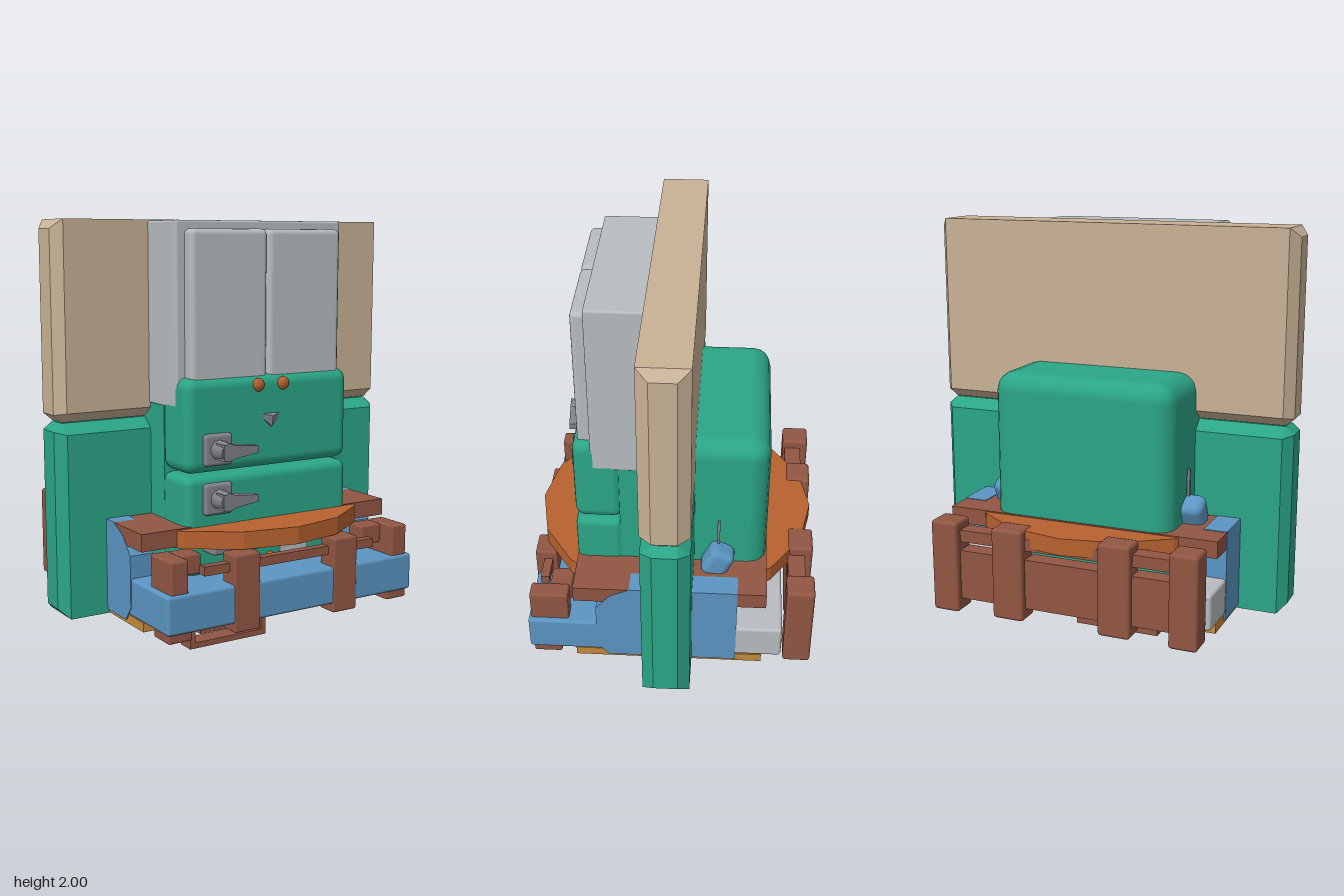
import * as THREE from 'three';
import { RoundedBoxGeometry } from 'three/addons/geometries/RoundedBoxGeometry.js';
import { ConvexGeometry } from 'three/addons/geometries/ConvexGeometry.js';

const paint = (name, color) => Object.assign(new THREE.MeshStandardMaterial({ color }), { name });

export function createModel() {
  const root = new THREE.Group();
  root.name = 'cabinetTable';
  const tan = paint('tan', 0xc9b296);
  const green = paint('green', 0x2ba586);
  const silver = paint('silver', 0xb8bcc0);
  const grey = paint('grey', 0x82848c);
  const orange = paint('orange', 0xb8622f);
  const brown = paint('brown', 0x925643);
  const blue = paint('blue', 0x5b95c2);
  const gold = paint('gold', 0xc58a3a);

  const add = (name, geometry, material) => {
    const mesh = new THREE.Mesh(geometry, material);
    mesh.name = name;
    root.add(mesh);
    return mesh;
  };
  // Box given by its limits; a radius rounds the edges
  const box = (name, material, x0, x1, y0, y1, z0, z1, r = 0) => {
    const size = [x1 - x0, y1 - y0, z1 - z0];
    const g = r ? new RoundedBoxGeometry(...size, 2, r) : new THREE.BoxGeometry(...size);
    g.translate((x0 + x1) / 2, (y0 + y1) / 2, (z0 + z1) / 2);
    return add(name, g, material);
  };
  // The same box on both sides of the model
  const pair = (name, material, x0, x1, ...rest) => {
    box(name + 'Left', material, x0, x1, ...rest);
    box(name + 'Right', material, -x1, -x0, ...rest);
  };
  const hull = (name, material, pts) =>
    add(name, new ConvexGeometry(pts.map((p) => new THREE.Vector3(...p))), material);

  // Wide panels with bevelled ends, bevelled where they meet
  const panel = (name, material, mapY) => {
    const pts = [];
    for (const sx of [-1, 1]) for (const sz of [-1, 1]) {
      pts.push(
        [sx * 0.83, mapY(2), sz * 0.107], [sx * 0.83, mapY(1.18), sz * 0.107],
        [sx * 0.83, mapY(1.135), sz * 0.05],
        [sx * 0.87, mapY(1.96), sz * 0.055], [sx * 0.87, mapY(1.17), sz * 0.055],
      );
    }
    hull(name, material, pts);
  };
  panel('upperPanel', tan, (y) => y);
  panel('lowerPanel', green, (y) => 2.267 - y);

  // Tall cupboard with two doors
  box('cupboard', silver, -0.43, 0.43, 1.2, 1.995, 0, 0.35, 0.01);
  box('cupboardDoorRight', silver, -0.39, -0.002, 1.25, 1.96, 0.33, 0.41, 0.025);
  box('cupboardDoorLeft', silver, 0.002, 0.39, 1.25, 1.96, 0.33, 0.41, 0.025);

  // Rounded body and its drawers
  box('backBody', green, -0.43, 0.43, 0.32, 1.35, -0.435, 0.06, 0.085);
  box('frontBody', green, -0.425, 0.425, 0.32, 1.24, 0, 0.23);
  box('upperDrawer', green, -0.43, 0.43, 0.92, 1.335, 0.21, 0.433, 0.05);
  box('lowerDrawer', green, -0.43, 0.43, 0.46, 0.912, 0.21, 0.433, 0.04);

  // Drawer handles
  for (const y of [1.025, 0.81]) {
    box('handlePlate', grey, -0.35, -0.21, y - 0.07, y + 0.07, 0.42, 0.455, 0.015);
    const knob = add('handleKnob', new THREE.CylinderGeometry(0.04, 0.045, 0.09, 10), grey);
    knob.rotation.x = Math.PI / 2;
    knob.position.set(-0.28, y, 0.49);
    hull('handleLever', grey, [-1, 1].flatMap((s) => [
      [-0.31, y + s * 0.035, 0.475], [-0.31, y + s * 0.035, 0.54],
      [-0.125, y + s * 0.015, 0.49], [-0.125, y + s * 0.015, 0.525],
    ]));
  }
  box('lowHandle', grey, -0.35, 0.05, 0.58, 0.615, 0.42, 0.52, 0.012);
  box('lowPlate', silver, 0.05, 0.2, 0.5, 0.615, 0.432, 0.44);

  // Round buttons and the small pointed piece below them
  for (const [x, y] of [[-0.065, 1.29], [0.065, 1.29], [0, 0.505]]) {
    const button = add('button', new THREE.SphereGeometry(0.03, 10, 8), orange);
    button.position.set(x, y, 0.43);
    button.scale.z = 0.7;
  }
  hull('beak', grey, [
    [-0.08, 1.17, 0.42], [0.08, 1.17, 0.42], [0, 1.095, 0.42],
    [0, 1.15, 0.45], [0, 1.105, 0.445],
  ]);

  // Table top: faceted disc with a straight deck across it
  const disc = new THREE.CylinderGeometry(0.65, 0.65, 0.077, 16).toNonIndexed();
  disc.computeVertexNormals();
  add('roundTop', disc, orange).position.y = 0.6535;
  box('deck', brown, -0.65, 0.65, 0.62, 0.697, -0.44, 0.43);

  // Side blocks showing through the deck
  const side = new THREE.Shape([
    [-0.33, 0.35], [-0.28, 0.285], [0.31, 0.285], [0.31, 0.7],
    [-0.17, 0.7], [-0.26, 0.66], [-0.33, 0.58],
  ].map((p) => new THREE.Vector2(...p)));
  for (const x of [0.543, -0.652]) {
    const g = new THREE.ExtrudeGeometry(side, { depth: 0.109, bevelEnabled: false });
    g.rotateY(Math.PI / 2);
    add('sideBlock', g, blue).position.x = x;
  }

  // Slabs and base plates
  box('frontSlab', blue, -0.648, 0.648, 0.31, 0.48, -0.12, 0.647, 0.015);
  box('backSlab', silver, -0.65, 0.65, 0.315, 0.48, -0.52, -0.1, 0.015);
  box('basePlate', gold, -0.645, 0.645, 0.27, 0.312, -0.43, 0.43);
  box('underPlate', grey, -0.55, 0.55, 0.264, 0.272, -0.34, 0.17);
  for (const x of [0.15, 0.42]) pair('socket', brown, x - 0.03, x + 0.03, 0.261, 0.266, -0.23, -0.17);

  // Front legs, feet and rail
  pair('frontLeg', brown, 0.195, 0.325, 0.27, 0.61, 0.55, 0.652, 0.01);
  pair('outerFrontLeg', brown, 0.54, 0.625, 0.47, 0.62, 0.46, 0.635, 0.01);
  pair('outerFrontFoot', brown, 0.52, 0.635, 0.27, 0.315, 0.5, 0.63, 0.01);
  pair('innerBrace', brown, 0.43, 0.545, 0.525, 0.615, 0.45, 0.55, 0.01);
  box('frontRail', brown, -0.45, 0.45, 0.53, 0.57, 0.57, 0.61);

  // Back fence
  pair('backOuterPost', brown, 0.505, 0.635, 0.27, 0.697, -0.657, -0.53, 0.015);
  pair('backInnerPost', brown, 0.18, 0.33, 0.275, 0.697, -0.657, -0.54, 0.015);
  box('backBoard', brown, -0.56, 0.56, 0.33, 0.56, -0.625, -0.54);
  box('backRail', brown, -0.56, 0.56, 0.6, 0.655, -0.62, -0.54);

  // Blue knobs and thin rods at the sides of the body
  for (const s of [-1, 1]) {
    const knob = add('sideKnob', new RoundedBoxGeometry(0.12, 0.15, 0.12, 2, 0.035), blue);
    knob.position.set(s * 0.46, 0.735, -0.215);
    knob.rotation.x = -0.45;
    box('sideRod', grey, s * 0.44 - 0.006, s * 0.44 + 0.006, 0.69, 0.94, -0.223, -0.211);
  }

  // Nested frames hanging below
  [[0.215, 0.005, 0.09], [0.15, 0.065, 0.075], [0.105, 0.11, 0.06]].forEach(([w, y, z]) => {
    const t = 0.028;
    const shape = new THREE.Shape([[-w, y], [w, y], [w, 0.27], [-w, 0.27]]
      .map((p) => new THREE.Vector2(...p)));
    const v = w - t;
    shape.holes.push(new THREE.Path([[-v, y + t], [-v, 0.225], [v, 0.225], [v, y + t]]
      .map((p) => new THREE.Vector2(...p))));
    add('hangingFrame', new THREE.ExtrudeGeometry(shape, { depth: z, bevelEnabled: false }), brown);
  });
  box('frameCrossBar', brown, -0.43, 0.43, 0.225, 0.27, 0, 0.2);
  // Small coloured blocks behind the frames
  [[orange, -0.17], [gold, -0.045], [blue, 0.08]].forEach(([m, x]) =>
    box('smallBlock', m, x, x + 0.09, 0.16, 0.268, -0.07, 0.005, 0.008));

  // Curved hooks either side of the frames
  const hook = new THREE.Shape();
  hook.moveTo(0, 0.27);
  hook.lineTo(0, 0.14);
  hook.lineTo(-0.085, 0.14);
  hook.quadraticCurveTo(-0.085, 0.22, -0.21, 0.22);
  hook.lineTo(-0.21, 0.27);
  for (const x of [0.35, -0.43]) {
    const g = new THREE.ExtrudeGeometry(hook, { depth: 0.08, bevelEnabled: false, curveSegments: 6 });
    g.rotateY(Math.PI / 2);
    add('hook', g, brown).position.x = x;
  }
  return root;
}
